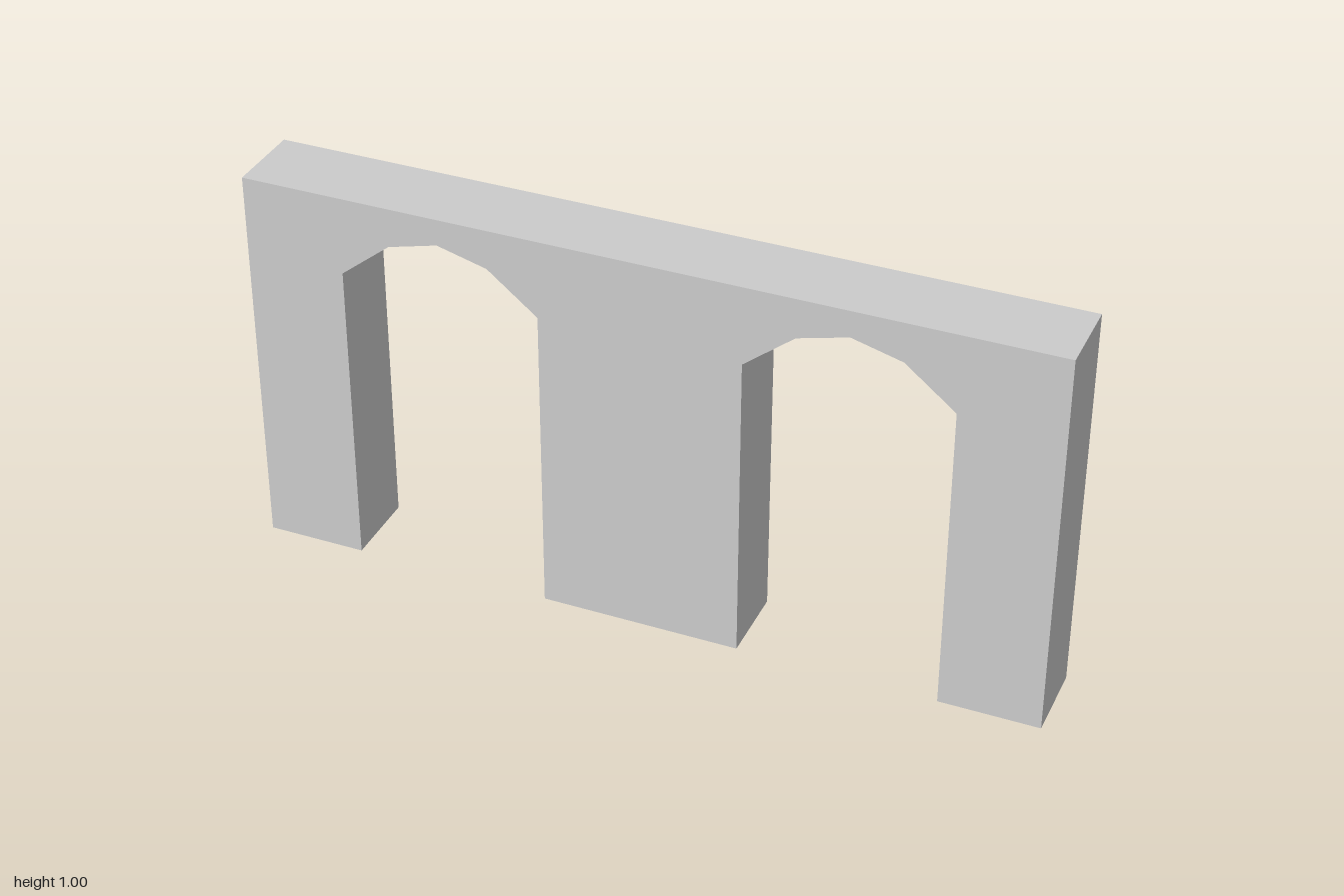
import * as THREE from 'three';

const DEPTH = 0.2;
// Faceted arch, as [offset from its centre, height], from left foot to right foot
const ARCH = [[-0.25, 0], [-0.25, 0.8], [-0.125, 0.9], [0, 0.933], [0.125, 0.9], [0.25, 0.8], [0.25, 0]];

export function createModel() {
  const group = new THREE.Group();
  group.name = 'archedWall';

  // Wall outline: the bottom edge runs up and over each of the two openings
  const shape = new THREE.Shape();
  shape.moveTo(-1, 0);
  for (const centre of [-0.5, 0.5]) {
    for (const [dx, y] of ARCH) shape.lineTo(centre + dx, y);
  }
  shape.lineTo(1, 0);
  shape.lineTo(1, 1);
  shape.lineTo(-1, 1);
  shape.closePath();

  const geometry = new THREE.ExtrudeGeometry(shape, { depth: DEPTH, bevelEnabled: false });
  geometry.translate(0, 0, -DEPTH / 2);

  const wall = new THREE.Mesh(
    geometry,
    new THREE.MeshStandardMaterial({ color: 0xcccccc, flatShading: true })
  );
  wall.name = 'doubleArchWall';
  group.add(wall);
  return group;
}
